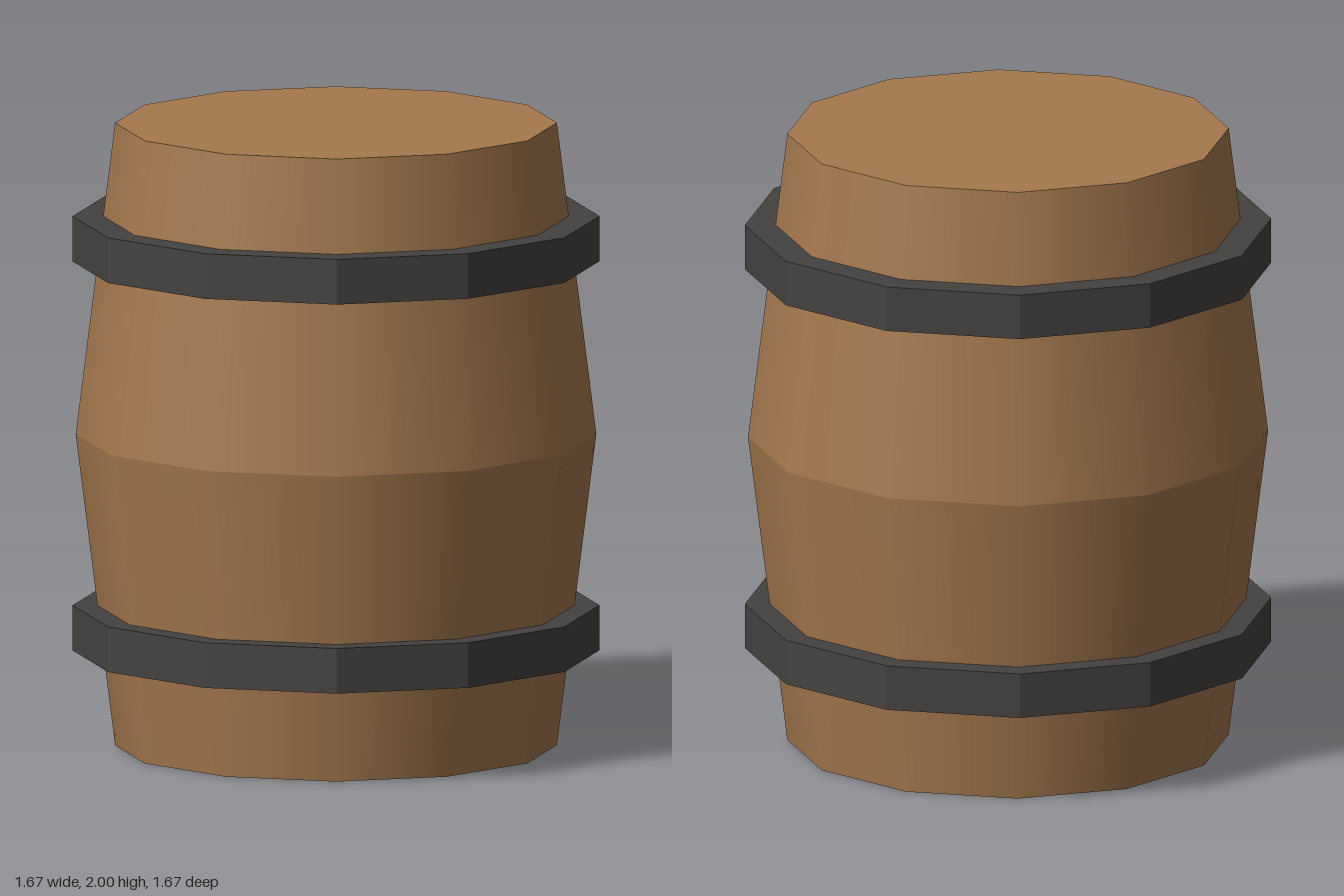
import * as THREE from 'three';

const SIDES = 12;
const END_RADIUS = 0.7;
const BELLY_RADIUS = 0.825;

export function createModel() {
  const barrel = new THREE.Group();
  barrel.name = 'barrel';

  const wood = new THREE.MeshStandardMaterial({ color: 0xa5784d });
  const iron = new THREE.MeshStandardMaterial({ color: 0x444240, flatShading: true });

  const add = (name, geometry, material, y) => {
    const mesh = new THREE.Mesh(geometry, material);
    mesh.name = name;
    mesh.position.y = y;
    barrel.add(mesh);
  };

  // Staves: two smooth tapered halves meeting in a crease at the belly
  add('lowerStaves', new THREE.CylinderGeometry(BELLY_RADIUS, END_RADIUS, 1, SIDES, 1, true), wood, 0.5);
  add('upperStaves', new THREE.CylinderGeometry(END_RADIUS, BELLY_RADIUS, 1, SIDES, 1, true), wood, 1.5);

  // Flat heads closing both ends
  add('topHead', new THREE.CircleGeometry(END_RADIUS, SIDES).rotateX(-Math.PI / 2), wood, 2);
  add('bottomHead', new THREE.CircleGeometry(END_RADIUS, SIDES).rotateX(Math.PI / 2), wood, 0);

  // Faceted hoops with a rectangular section, sunk slightly into the staves
  const inner = 0.71, outer = 0.835, half = 0.0725;
  const section = [
    [inner, -half], [outer, -half], [outer, half], [inner, half], [inner, -half],
  ].map(([r, y]) => new THREE.Vector2(r, y));
  add('lowerHoop', new THREE.LatheGeometry(section, SIDES), iron, 0.3775);
  add('upperHoop', new THREE.LatheGeometry(section, SIDES), iron, 1.6275);

  return barrel;
}
